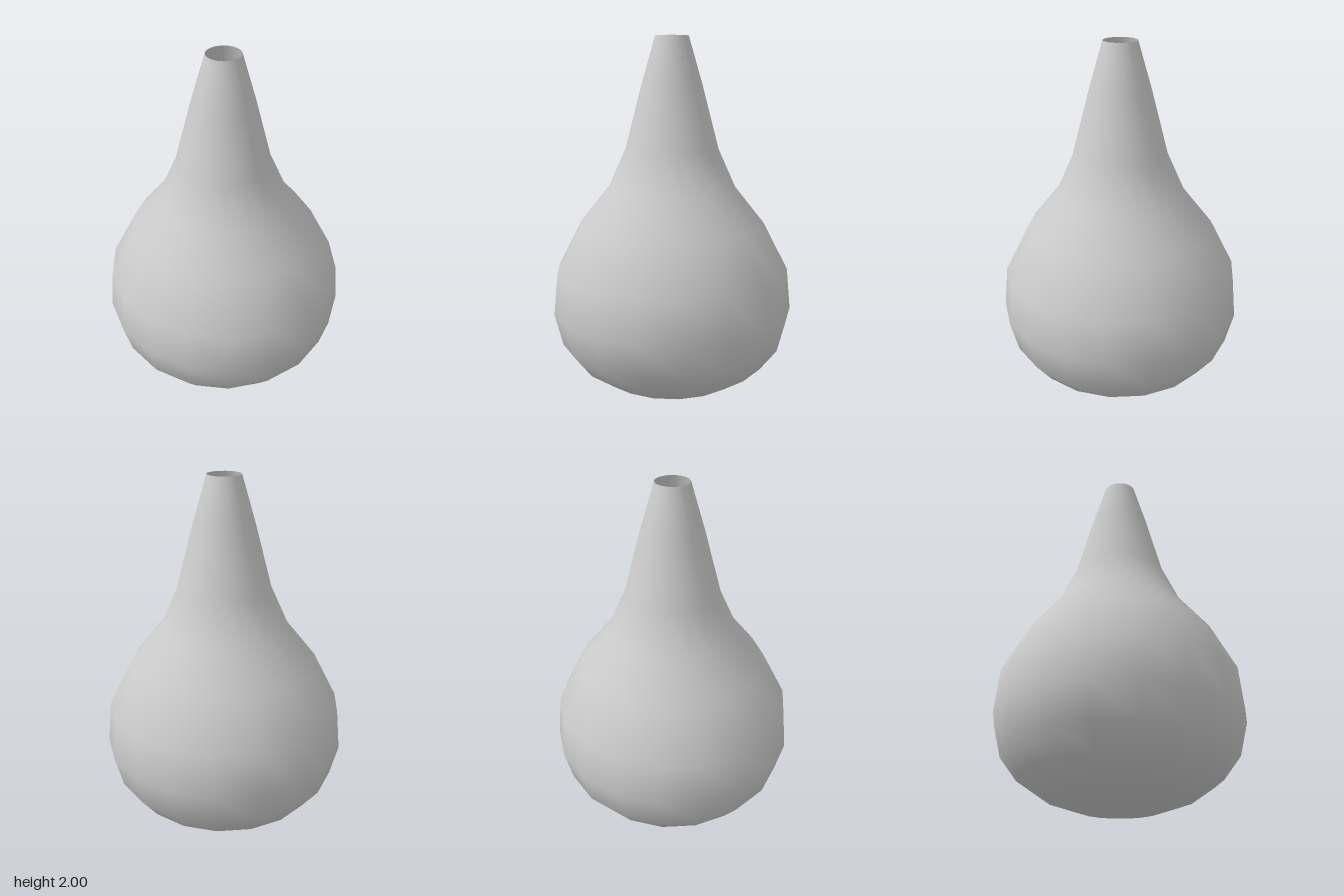
import * as THREE from 'three';

export function createModel() {
  const group = new THREE.Group();
  group.name = 'bulbVase';

  // Outline from the rounded base up to the open mouth: [radius, height]
  const profile = [
    [0, 0], [0.22, 0.02], [0.4, 0.08], [0.54, 0.175], [0.635, 0.3],
    [0.68, 0.48], [0.657, 0.71], [0.52, 0.975], [0.355, 1.18],
    [0.26, 1.39], [0.168, 1.74], [0.092, 2],
  ].map(([r, y]) => new THREE.Vector2(r, y));

  // Thin, open-topped shell with smooth shading
  const body = new THREE.Mesh(
    new THREE.LatheGeometry(profile, 18),
    new THREE.MeshStandardMaterial({ color: 0xcccccc, side: THREE.DoubleSide })
  );
  body.name = 'vaseBody';
  group.add(body);

  return group;
}
